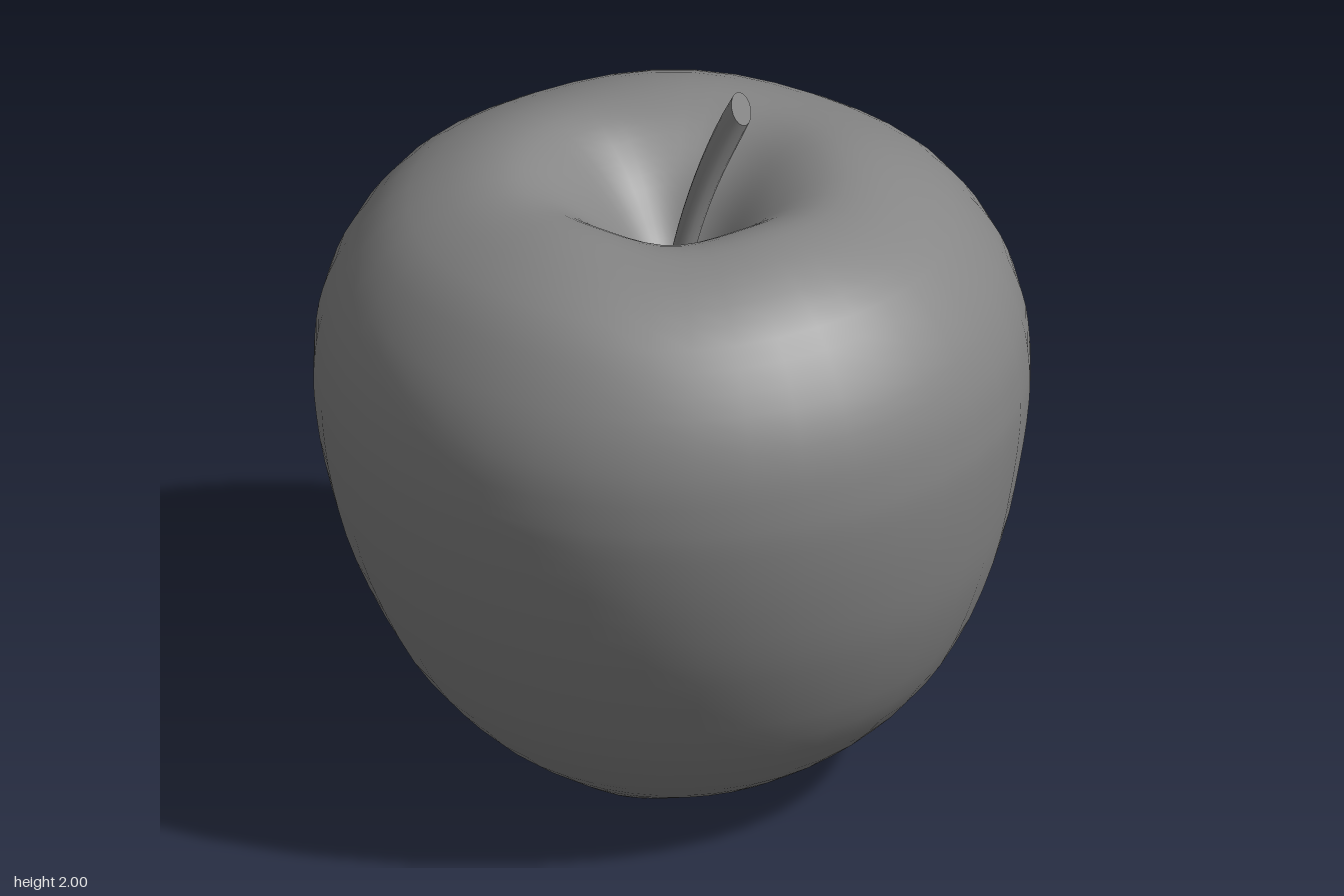
import * as THREE from 'three';
import { mergeVertices } from 'three/addons/utils/BufferGeometryUtils.js';

const material = new THREE.MeshStandardMaterial({ color: 0x858585 });
const { smoothstep } = THREE.MathUtils;

// Weld seams and poles so the surface shades smoothly
function smooth(geometry) {
  geometry.deleteAttribute('uv');
  geometry.deleteAttribute('normal');
  const welded = mergeVertices(geometry, 1e-4);
  welded.computeVertexNormals();
  return welded;
}

// Fruit: a turned profile with a hollow at each end, then gently made uneven
function createFruit() {
  const profile = new THREE.SplineCurve([
    [0, 0.15], [0.07, 0.12], [0.14, 0.075], [0.21, 0.028], [0.27, 0.018], [0.42, 0.098], [0.6, 0.232],
    [0.745, 0.415], [0.857, 0.68], [0.912, 0.91], [0.938, 1.1], [0.938, 1.22], [0.918, 1.35], [0.857, 1.49],
    [0.74, 1.63], [0.59, 1.715], [0.46, 1.745], [0.36, 1.727], [0.27, 1.675], [0.19, 1.6], [0.1, 1.49],
    [0.03, 1.43], [0, 1.42],
  ].map(([r, y]) => new THREE.Vector2(r, y))).getPoints(66);
  profile[0].x = profile[66].x = 0;

  const geometry = new THREE.LatheGeometry(profile, 40);
  const p = geometry.attributes.position;
  for (let i = 0; i < p.count; i++) {
    let x = p.getX(i), y = p.getY(i), z = p.getZ(i);
    const r = Math.hypot(x, z), a = Math.atan2(z, x);
    // Five soft ridges around the base hollow
    const ridge = (1 - smoothstep(y, 0.1, 0.3)) * smoothstep(r, 0.02, 0.16) * (1 - smoothstep(r, 0.25, 0.45));
    y += 0.012 * ridge * Math.cos(5 * a + 0.6);
    // Shoulder higher at the front, with five shallow lobes
    const shoulder = smoothstep(y, 1.45, 1.7) * smoothstep(r, 0.06, 0.3);
    y += shoulder * (0.012 * Math.cos(a - 1.33) + 0.008 * Math.cos(5 * a - 3.58));
    // Lower half leans slightly off axis
    const lean = smoothstep(y, 0.05, 0.3) * (1 - smoothstep(y, 0.35, 1.0));
    x += 0.012 * lean;
    z -= 0.025 * lean;
    p.setXYZ(i, x, y, z);
  }
  const mesh = new THREE.Mesh(smooth(geometry), material);
  mesh.name = 'fruit';
  return mesh;
}

// Stem: oval sections swept along a curve, flaring towards a slanted flat tip
function createStem() {
  const path = new THREE.QuadraticBezierCurve3(
    new THREE.Vector3(0.01, 1.4, 0), new THREE.Vector3(0.05, 1.68, 0), new THREE.Vector3(0.187, 1.965, 0));
  const slant = new THREE.Vector3(0.84, 0.54, 0);
  const rings = 12, sides = 16, positions = [], index = [];
  for (let i = 0; i <= rings; i++) {
    const t = i / rings, c = path.getPoint(t);
    const d = path.getTangent(t).lerp(slant, t ** 5).normalize();
    const wide = 0.04 + 0.02 * t ** 2.5, thin = 0.03 + 0.012 * t ** 2.5;
    for (let j = 0; j < sides; j++) {
      const a = (j / sides) * Math.PI * 2, u = Math.cos(a) * thin;
      positions.push(c.x + d.y * u, c.y - d.x * u, Math.sin(a) * wide);
      if (i === rings) continue;
      const k = i * sides + j, n = i * sides + (j + 1) % sides;
      index.push(k, k + sides, n, n, k + sides, n + sides);
    }
  }
  // Separate tip ring keeps the cut end crisp
  const tip = positions.length / 3;
  positions.push(...positions.slice(-sides * 3));
  for (let j = 1; j < sides - 1; j++) index.push(tip, tip + j + 1, tip + j);

  const geometry = new THREE.BufferGeometry();
  geometry.setAttribute('position', new THREE.Float32BufferAttribute(positions, 3));
  geometry.setIndex(index);
  geometry.computeVertexNormals();
  const mesh = new THREE.Mesh(geometry, material);
  mesh.name = 'stem';
  return mesh;
}

export function createModel() {
  const apple = new THREE.Group();
  apple.name = 'apple';
  apple.add(createFruit(), createStem());
  return apple;
}
